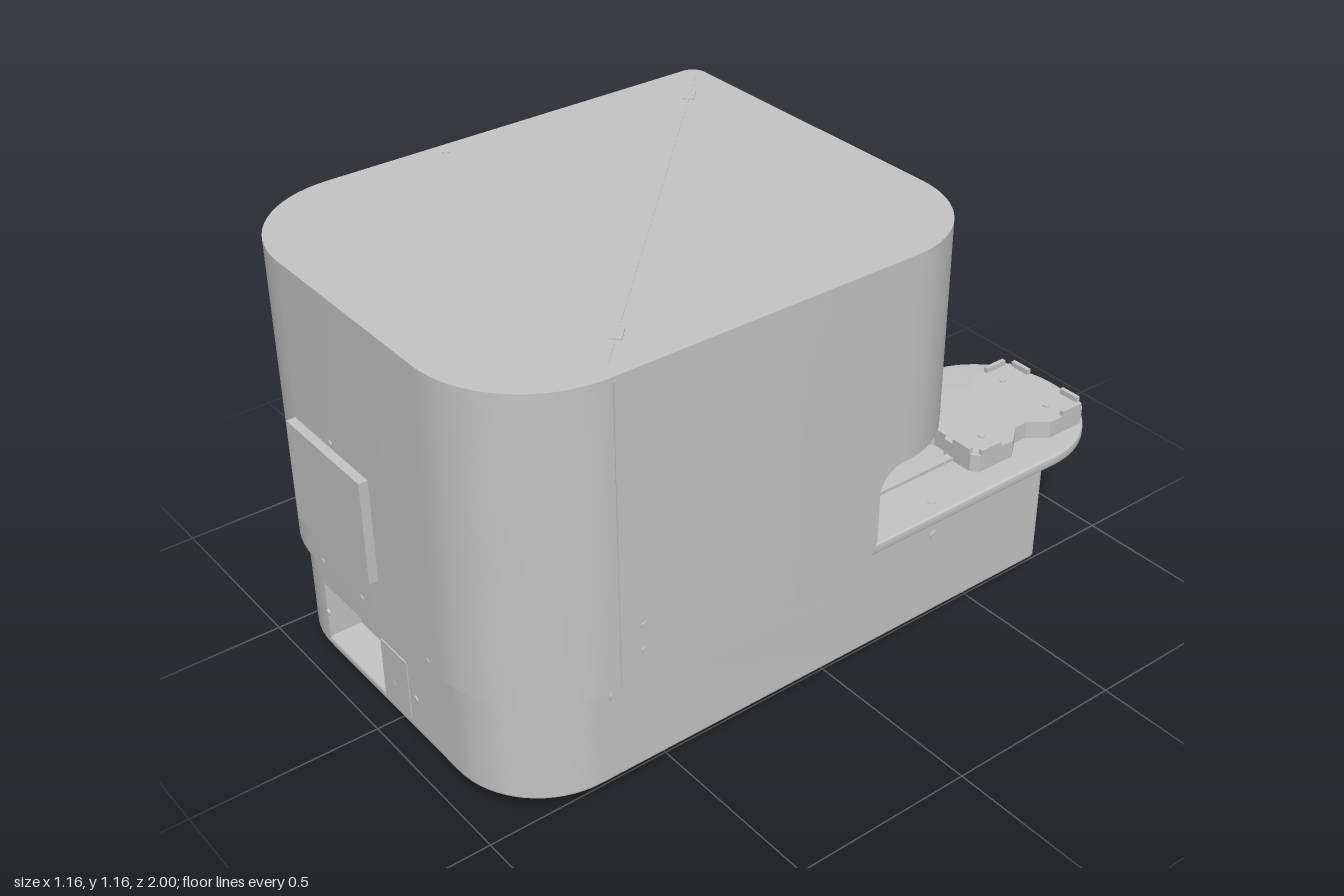
import * as THREE from 'three';
import { toCreasedNormals } from 'three/addons/utils/BufferGeometryUtils.js';

const casing = new THREE.MeshStandardMaterial({ color: 0xc4c4c4 });
casing.name = 'casing grey';

// Outline in x,z from right-angled corners [x, z, radius]; extra[i] adds points after corner i.
function outline(corners, extra = {}) {
  const pts = [], n = corners.length, seg = 16;
  corners.forEach(([x, z, r], i) => {
    const p = new THREE.Vector2(x, z);
    const dir = (c) => new THREE.Vector2(c[0], c[1]).sub(p).normalize();
    const a = dir(corners[(i + n - 1) % n]), b = dir(corners[(i + 1) % n]);
    if (r <= 0) pts.push(p);
    else for (let k = 0; k <= seg; k++) {
      const t = (k / seg) * Math.PI / 2;
      pts.push(p.clone().addScaledVector(a, r * (1 - Math.sin(t))).addScaledVector(b, r * (1 - Math.cos(t))));
    }
    (extra[i] || []).forEach((e) => pts.push(e));
  });
  return pts;
}
const rect = (x0, x1, z0, z1, r) => outline([[x0, z1, r], [x1, z1, r], [x1, z0, r], [x0, z0, r]]);
const planShape = (pts) => new THREE.Shape(pts.map((p) => new THREE.Vector2(p.x, -p.y)));

// Horizontal slab between two heights, with an optional edge bevel.
function slab(shape, y0, y1, bevel = 0) {
  const g = new THREE.ExtrudeGeometry(shape, {
    depth: y1 - y0 - 2 * bevel, bevelEnabled: bevel > 0, bevelSize: bevel,
    bevelOffset: -bevel, bevelThickness: bevel, bevelSegments: 3, curveSegments: 40,
  });
  g.rotateX(-Math.PI / 2).translate(0, y0 + bevel, 0);
  return toCreasedNormals(g, 0.5);
}

// Hood wall: a ring whose lower edge rises into an arched opening at the back right.
const R = 0.07, HOOD_BOTTOM = 0.34, ARCH_TOP = 0.6, HOOD_TOP = 1.14;
function archHeight(u) {
  if (u <= 0) return HOOD_BOTTOM;
  if (u <= R) return HOOD_BOTTOM + R - Math.sqrt(Math.max(0, R * R - u * u));
  if (u < 2 * R) return ARCH_TOP - R + Math.sqrt(Math.max(0, R * R - (u - 2 * R) ** 2));
  return ARCH_TOP;
}
function hoodOutline(d) {
  const us = [];
  for (let k = 0; k <= 10; k++) us.push(R * Math.sin((k / 10) * Math.PI / 2));
  for (let k = 0; k <= 10; k++) us.push(R + 0.0002 + (R - 0.0002) * (1 - Math.cos((k / 10) * Math.PI / 2)));
  const side = us.map((u) => Object.assign(new THREE.Vector2(0.575 - d, -0.025 - u), { u }));
  const back = us.map((u) => Object.assign(new THREE.Vector2(0.06 + u, -0.44 + d), { u })).reverse();
  const pts = outline([
    [-0.58 + d, 0.975 - d, 0.29 - d], [0.575 - d, 0.975 - d, 0.29 - d],
    [0.575 - d, -0.44 + d, 0.27 - d], [-0.58 + d, -0.44 + d, 0.04 - d],
  ], { 1: side, 2: back });
  const first = pts.indexOf(side[0]), last = pts.indexOf(back[back.length - 1]);
  pts.forEach((p, i) => {
    p.h = p.u !== undefined ? archHeight(p.u) : i > first && i < last ? ARCH_TOP : HOOD_BOTTOM;
  });
  return pts;
}
function hoodWall() {
  const out = hoodOutline(0), inn = hoodOutline(0.02), v = [];
  const quad = (a, b, c, d) => v.push(...a, ...b, ...c, ...a, ...c, ...d);
  const low = (p) => [p.x, p.h, p.y], high = (p) => [p.x, HOOD_TOP, p.y];
  out.forEach((p, i) => {
    const j = (i + 1) % out.length, q = out[j], a = inn[i], b = inn[j];
    quad(low(p), low(q), high(q), high(p));
    quad(low(b), low(a), high(a), high(b));
    quad(low(a), low(b), low(q), low(p));
  });
  const g = new THREE.BufferGeometry();
  g.setAttribute('position', new THREE.Float32BufferAttribute(v, 3));
  return toCreasedNormals(g, 0.5);
}

export function createModel() {
  const model = new THREE.Group();
  model.name = 'benchInstrument';
  const add = (name, geometry, x = 0, y = 0, z = 0, parent = model) => {
    const m = new THREE.Mesh(geometry, casing);
    m.name = name;
    m.position.set(x, y, z);
    parent.add(m);
    return m;
  };
  const box = (name, x0, x1, y0, y1, z0, z1) =>
    add(name, new THREE.BoxGeometry(x1 - x0, y1 - y0, z1 - z0), (x0 + x1) / 2, (y0 + y1) / 2, (z0 + z1) / 2);
  const screw = (x, y, z, axis, r = 0.009) => {
    const g = new THREE.CylinderGeometry(r, r, 0.006, 20);
    if (axis === 'x') g.rotateZ(Math.PI / 2);
    if (axis === 'z') g.rotateX(Math.PI / 2);
    add('screw', g, x, y, z);
  };

  // Hood
  add('hoodWall', hoodWall());
  add('hoodTop', slab(planShape(hoodOutline(0)), HOOD_TOP, 1.16));
  box('bayCeiling', 0.13, 0.5, 0.602, 0.612, -0.3, 0.3);
  box('bayWall', 0.13, 0.14, 0.34, 0.61, -0.43, 0.3);

  // Lid seam, its latches and the hood's vertical seams
  const seam = box('lidSeam', -0.75, 0.75, 1.159, 1.161, -0.002, 0.002);
  seam.position.set(0, 1.16, 0.13);
  seam.rotation.y = -Math.PI / 4;
  for (const x of [-0.44, 0.44]) {
    const latch = add('latch', new THREE.BoxGeometry(0.05, 0.004, 0.03), x, 1.161, x + 0.13);
    latch.rotation.y = -Math.PI / 4;
  }
  box('sideSeam', 0.573, 0.577, 0.35, 1.15, 0.672, 0.678);
  box('backSeam', -0.535, -0.529, 0.35, 1.15, -0.442, -0.438);

  // Front flap
  box('frontFlap', -0.297, 0.037, 0.462, 0.742, 0.97, 0.999);

  // Base: bottom, middle with the front pocket, and top
  const front = [[-0.55, 0.95, 0.24], [0.535, 0.95, 0.24]];
  const rear = [[0.535, -0.73, 0.02], [0.205, -0.73, 0.02], [0.205, -0.42, 0.1], [-0.55, -0.42, 0.04]];
  const pocket = [[-0.305, 0.95, 0], [-0.305, 0.6, 0], [-0.03, 0.6, 0], [-0.03, 0.95, 0]];
  const solid = planShape(outline([...front, ...rear]));
  const notched = planShape(outline([front[0], ...pocket, front[1], ...rear]));
  add('baseBottom', slab(solid, 0.04, 0.07, 0.012));
  add('baseMiddle', slab(notched, 0.055, 0.24));
  add('baseTop', slab(solid, 0.24, 0.343));
  box('pocketCover', -0.028, 0.09, 0.07, 0.24, 0.949, 0.953);
  const roller = new THREE.CylinderGeometry(0.033, 0.033, 0.25, 32).rotateZ(Math.PI / 2);
  add('pocketRoller', roller, -0.175, 0.13, 0.82);
  box('pocketSill', -0.305, -0.03, 0.068, 0.1, 0.78, 0.86);
  box('pocketGuide', -0.05, -0.043, 0.1, 0.24, 0.85, 0.9);

  // Feet
  for (const x of [-0.46, 0.44]) for (const z of [0.67, -0.33])
    add('foot', new THREE.CylinderGeometry(0.034, 0.031, 0.046, 32), x, 0.023, z);

  // Screws
  for (const x of [-0.243, -0.057, 0.237]) screw(x, 0.354, 0.974, 'z');
  for (const [x, y] of [[-0.3, 0.15], [0.12, 0.15], [0.022, 0.132]]) screw(x, y, 0.951, 'z');
  screw(-0.13, 0.755, 0.975, 'z');
  for (const z of [0.67, -0.33]) screw(0.535, 0.29, z, 'x', 0.013);
  for (const y of [0.42, 0.49]) screw(0.575, y, 0.61, 'x');
  screw(-0.54, 1.159, 0.375, 'y');
  screw(0.51, 0.374, -0.34, 'y', 0.012);

  // Tray arm with the round stage
  const arm = new THREE.Shape();
  arm.moveTo(0.56, 0.08);
  arm.lineTo(0.56, 0.74);
  arm.absarc(0.3, 0.74, 0.26, 0, 220 * Math.PI / 180, false);
  arm.quadraticCurveTo(0.17, 0.5, 0.17, 0.42);
  arm.lineTo(0.17, 0.08);
  add('trayArm', slab(arm, 0.343, 0.375, 0.008));
  for (const x of [0.27, 0.4]) box('rail', x - 0.012, x + 0.012, 0.37, 0.385, -0.52, 0.1);
  box('lever', 0.1, 0.2, 0.374, 0.384, -0.69, -0.675);
  add('leverPivot', new THREE.CylinderGeometry(0.04, 0.04, 0.02, 32), 0.215, 0.384, -0.715);

  // Sample holder with a pinched waist and corner clips
  const half = [[0.145, -0.19], [0.125, -0.205], [0.03, -0.205], [0.02, -0.19], [0, -0.19]];
  const edge = [[0.145, 0.19], [0.145, 0.07], [0.105, 0.02], [0.105, -0.02], [0.145, -0.07], ...half];
  const holder = new THREE.Shape();
  edge.forEach(([x, y], i) => (i ? holder.lineTo(x, y) : holder.moveTo(x, y)));
  [...half].reverse().slice(1).forEach(([x, y]) => holder.lineTo(-x, y));
  [[-0.145, -0.07], [-0.105, -0.02], [-0.105, 0.02], [-0.145, 0.07], [-0.145, 0.19], [-0.125, 0.205], [0.125, 0.205]]
    .forEach(([x, y]) => holder.lineTo(x, y));
  add('sampleHolder', slab(holder, 0.372, 0.425), 0.347, 0, -0.715);
  for (const sx of [-1, 1]) for (const sz of [-1, 1]) {
    const x = 0.347 + sx * 0.14, z = -0.715 + sz * 0.15;
    box('sideClip', x - 0.006, x + 0.006, 0.42, 0.44, z - 0.035, z + 0.035);
    const ex = 0.347 + sx * 0.09, ez = -0.715 + sz * 0.2;
    box('endClip', ex - 0.03, ex + 0.03, 0.42, 0.44, ez - 0.006, ez + 0.006);
    screw(0.347 + sx * 0.08, 0.425, -0.715 + sz * 0.12, 'y');
  }

  // Sloped control console at the back
  const profile = new THREE.Shape();
  profile.moveTo(0.4, 0.045);
  profile.lineTo(0.595, 0.06);
  profile.quadraticCurveTo(0.64, 0.063, 0.625, 0.085);
  profile.lineTo(0.477, 0.278);
  profile.quadraticCurveTo(0.467, 0.29, 0.45, 0.29);
  profile.lineTo(0.4, 0.29);
  const wedge = new THREE.ExtrudeGeometry(profile, { depth: 0.525, bevelEnabled: false, curveSegments: 8 });
  add('console', toCreasedNormals(wedge.rotateY(Math.PI / 2), 0.6), -0.48, 0, 0);
  const face = new THREE.Group();
  face.name = 'consoleFace';
  face.position.set(-0.2175, 0.1815, -0.551);
  face.rotation.x = -0.917;
  model.add(face);
  add('screen', slab(planShape(rect(-0.24, 0.24, -0.11, 0.11, 0.03)), -0.003, 0.004), 0, 0, 0, face);
  add('screenMark', new THREE.BoxGeometry(0.23, 0.003, 0.006), 0, 0.005, 0, face);

  return model;
}
